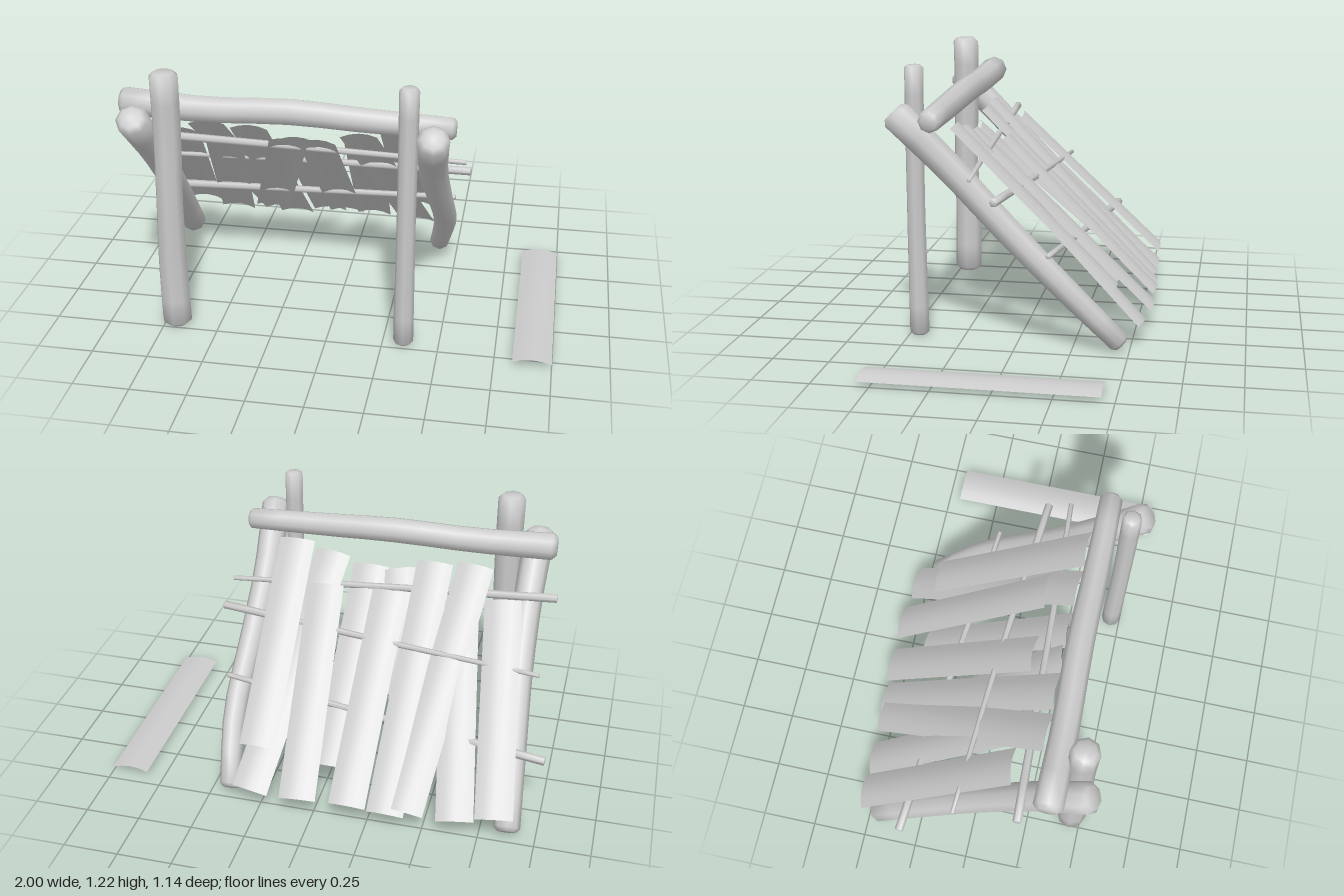
import * as THREE from 'three';
import { mergeVertices, toCreasedNormals } from 'three/addons/utils/BufferGeometryUtils.js';

const wood = new THREE.MeshStandardMaterial({ color: 0xcccccc });
const sheet = new THREE.MeshStandardMaterial({ color: 0xcccccc, side: THREE.DoubleSide });

// Round timber with bevelled ends, swept along a gently bent line.
// Each point is [x, y, z, radius].
function log(name, points, sides = 8, bevel = 0.3) {
  const curve = new THREE.CatmullRomCurve3(points.map(p => new THREE.Vector3(p[0], p[1], p[2])));
  const radius = t => {
    const f = t * (points.length - 1), i = Math.min(Math.floor(f), points.length - 2);
    return THREE.MathUtils.lerp(points[i][3], points[i + 1][3], f - i);
  };
  const length = curve.getLength();
  const r0 = radius(0), r1 = radius(1);
  const profile = [new THREE.Vector2(0, 0), new THREE.Vector2(r0 * (1 - bevel), 0)];
  const a = r0 * bevel / length, b = 1 - r1 * bevel / length, steps = 10;
  for (let i = 0; i <= steps; i++) {
    const t = a + (b - a) * i / steps;
    profile.push(new THREE.Vector2(radius(t), t));
  }
  profile.push(new THREE.Vector2(r1 * (1 - bevel), 1), new THREE.Vector2(0, 1));

  let geo = new THREE.LatheGeometry(profile, sides);
  const turn = new THREE.Quaternion().setFromUnitVectors(
    new THREE.Vector3(0, 1, 0), curve.getPoint(1).sub(curve.getPoint(0)).normalize());
  const pos = geo.attributes.position, v = new THREE.Vector3();
  for (let i = 0; i < pos.count; i++) {
    const t = THREE.MathUtils.clamp(pos.getY(i), 0, 1);
    v.set(pos.getX(i), 0, pos.getZ(i)).applyQuaternion(turn).add(curve.getPoint(t));
    pos.setXYZ(i, v.x, v.y, v.z);
  }
  geo.deleteAttribute('uv');
  geo.deleteAttribute('normal');
  geo = toCreasedNormals(mergeVertices(geo, 1e-5), 1.1);
  const mesh = new THREE.Mesh(geo, wood);
  mesh.name = name;
  return mesh;
}

// Thin, slightly arched bark strip laid from one end point to the other
function plank(name, from, to, width = 0.168) {
  const along = to.clone().sub(from);
  const geo = new THREE.PlaneGeometry(width, along.length(), 4, 1);
  const pos = geo.attributes.position;
  for (let i = 0; i < pos.count; i++) {
    const u = pos.getX(i) / (width / 2);
    pos.setZ(i, 0.009 - 0.018 * u * u);
  }
  geo.computeVertexNormals();
  const mesh = new THREE.Mesh(geo, sheet);
  const y = along.normalize();
  const x = new THREE.Vector3(-1, 0, 0).addScaledVector(y, y.x).normalize();
  mesh.quaternion.setFromRotationMatrix(
    new THREE.Matrix4().makeBasis(x, y, new THREE.Vector3().crossVectors(x, y)));
  mesh.position.copy(from).add(to).multiplyScalar(0.5);
  mesh.name = name;
  return mesh;
}

export function createModel() {
  const model = new THREE.Group();
  model.name = 'leanToShelter';

  // Upright front posts
  model.add(log('rightPost', [
    [-0.695, 0.02, 0.455, 0.068], [-0.7, 0.32, 0.455, 0.066], [-0.695, 0.64, 0.462, 0.06],
    [-0.69, 0.94, 0.455, 0.062], [-0.69, 1.24, 0.457, 0.064]]));
  model.add(log('leftPost', [
    [0.343, 0.02, 0.455, 0.045], [0.345, 0.64, 0.46, 0.041], [0.347, 1.24, 0.457, 0.043]]));

  // Sloping side rafters
  model.add(log('rightRafter', [
    [-0.825, 1.05, 0.525, 0.07], [-0.815, 0.8, 0.275, 0.066], [-0.825, 0.545, 0.03, 0.062],
    [-0.85, 0.3, -0.22, 0.06], [-0.873, 0.045, -0.465, 0.06]]));
  model.add(log('leftRafter', [
    [0.455, 1.05, 0.525, 0.07], [0.435, 0.8, 0.275, 0.064], [0.445, 0.545, 0.03, 0.06],
    [0.455, 0.3, -0.22, 0.055], [0.41, 0.045, -0.465, 0.048]]));

  // Ridge beam across the top
  model.add(log('ridgeBeam', [
    [-0.92, 1.055, 0.352, 0.065], [-0.55, 1.04, 0.355, 0.06], [-0.18, 1.05, 0.345, 0.06],
    [0.18, 1.035, 0.35, 0.056], [0.535, 1.025, 0.35, 0.05]]));

  // Thin battens carrying the roof
  const battens = [
    [[-0.95, 0.855, 0.235, 0.02], [-0.2, 0.825, 0.205, 0.016], [0.57, 0.79, 0.17, 0.011]],
    [[-0.925, 0.62, -0.06, 0.01], [-0.2, 0.66, -0.01, 0.014], [0.585, 0.7, 0.065, 0.019]],
    [[-1.0, 0.34, -0.305, 0.02], [-0.25, 0.395, -0.235, 0.016], [0.505, 0.455, -0.155, 0.012]],
  ];
  battens.forEach((p, i) => model.add(log('batten' + (i + 1), p, 6, 0.1)));

  // Roof planks: [low end x, z, high end x, z, drop below the top layer]
  const roof = new THREE.Group();
  roof.name = 'roofPlanks';
  const onSlope = (x, z, drop) => new THREE.Vector3(x, 0.975 + (z - 0.29) * 0.983 - drop, z);
  const planks = [
    [-0.82, -0.54, -0.715, 0.165, 0.0],
    [-0.65, -0.545, -0.52, 0.17, 0.035],
    [-0.425, -0.55, -0.565, 0.285, 0.02],
    [-0.34, -0.56, -0.375, 0.285, 0.03],
    [-0.435, -0.41, -0.2, 0.28, 0.08],
    [-0.168, -0.57, -0.195, 0.15, 0.0],
    [-0.055, -0.41, -0.075, 0.28, 0.075],
    [0.06, -0.575, 0.11, 0.145, 0.0],
    [0.29, -0.55, 0.11, 0.285, 0.035],
    [0.287, -0.425, 0.287, 0.29, 0.0],
  ];
  planks.forEach(([x0, z0, x1, z1, d], i) =>
    roof.add(plank('roofPlank' + (i + 1), onSlope(x0, z0, d), onSlope(x1, z1, d))));
  model.add(roof);

  // Spare plank lying beside the shelter
  model.add(plank('loosePlank',
    new THREE.Vector3(0.915, 0.046, -0.445), new THREE.Vector3(0.915, 0.046, 0.555), 0.17));

  return model;
}
